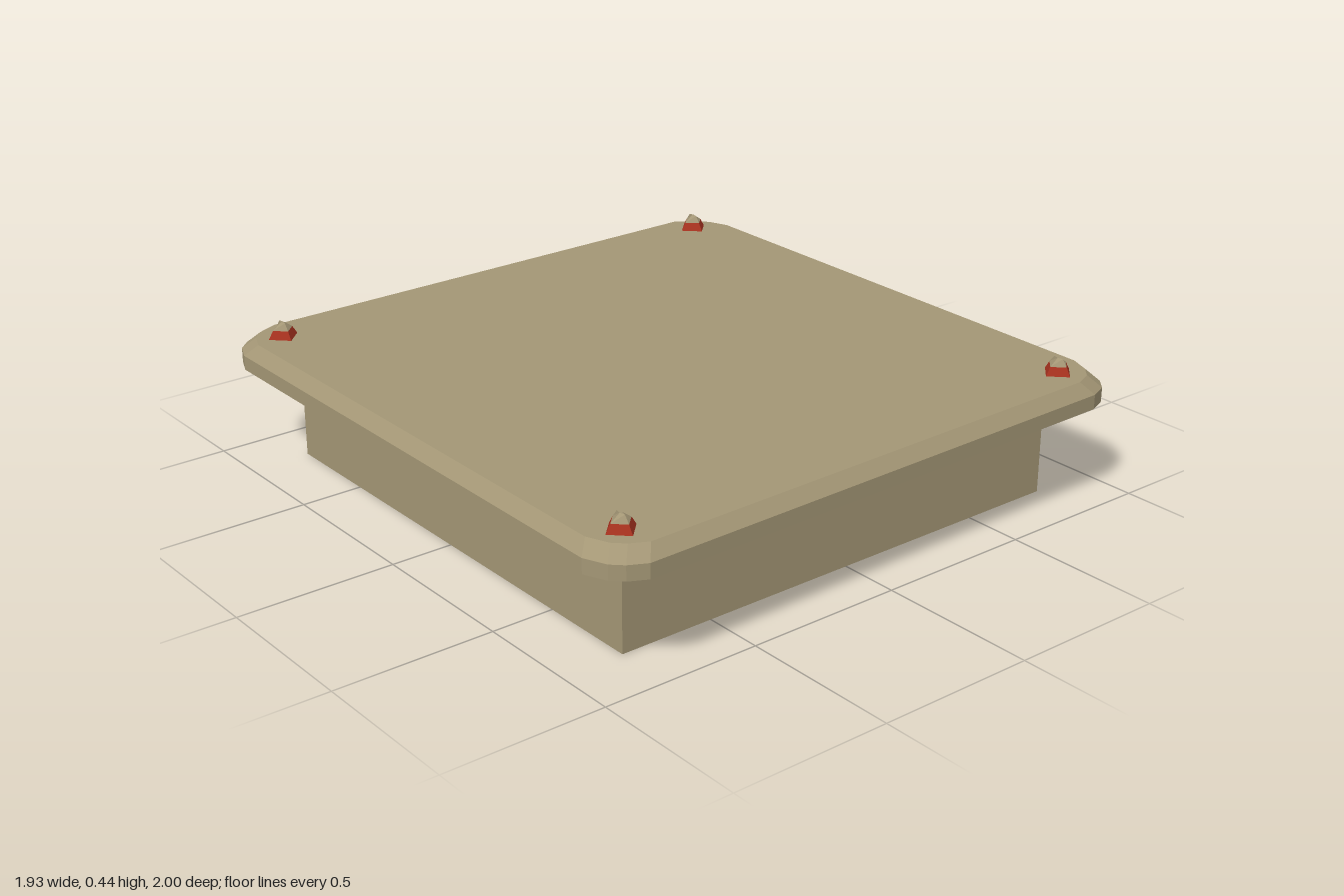
import * as THREE from 'three';

const tan = new THREE.MeshStandardMaterial({ color: 0xa39675, side: THREE.DoubleSide });
tan.name = 'tan';
const red = new THREE.MeshStandardMaterial({ color: 0xa8321f, side: THREE.DoubleSide });
red.name = 'red';

// Flat-shaded faces from triangles given as corner triples
function facesGeometry(corners) {
  const g = new THREE.BufferGeometry();
  g.setAttribute('position', new THREE.Float32BufferAttribute(corners.flat(), 3));
  g.computeVertexNormals();
  return g;
}

// Side walls between two rings; pick(i) chooses which sides to build
function wall(lower, upper, pick = () => true) {
  const out = [];
  lower.forEach((a, i) => {
    if (!pick(i)) return;
    const j = (i + 1) % lower.length;
    out.push(a, lower[j], upper[j], a, upper[j], upper[i]);
  });
  return out;
}

// Cap over a convex ring
function cap(ring, facingUp) {
  const out = [];
  for (let i = 1; i < ring.length - 1; i++) {
    out.push(ring[0], ...(facingUp ? [ring[i], ring[i + 1]] : [ring[i + 1], ring[i]]));
  }
  return out;
}

const ringAt = (outline, y, s = 1) => outline.map(([x, z]) => [x * s, y, z * s]);

function addMesh(parent, name, corners, material) {
  const mesh = new THREE.Mesh(facesGeometry(corners), material);
  mesh.name = name;
  parent.add(mesh);
}

export function createModel() {
  const model = new THREE.Group();
  model.name = 'cover';

  // Lid outline, slightly out of square, counterclockwise from above
  const lidOutline = [
    [0.84, 0.97], [0.9, 0.945], [0.935, 0.905], [0.96, 0.84],
    [0.963, -0.85], [0.937, -0.915], [0.907, -0.955], [0.84, -1],
    [-0.84, -0.995], [-0.905, -0.968], [-0.942, -0.932], [-0.968, -0.87],
    [-0.968, 0.865], [-0.938, 0.935], [-0.905, 0.967], [-0.85, 0.995],
  ];
  const rim = ringAt(lidOutline, 0.312);
  const shoulder = ringAt(lidOutline, 0.358);
  const top = ringAt(lidOutline, 0.395, 0.964);
  const redFacet = 5;

  addMesh(model, 'lid', [
    ...cap(rim, false),
    ...wall(rim, shoulder, (i) => i !== redFacet),
    ...wall(shoulder, top),
    ...cap(top, true),
  ], tan);
  addMesh(model, 'cornerMark', wall(rim, shoulder, (i) => i === redFacet), red);

  // Thin skirt, open at the bottom
  const skirtOutline = [[0.793, 0.815], [0.793, -0.815], [-0.803, -0.815], [-0.803, 0.815]];
  addMesh(model, 'skirt', wall(ringAt(skirtOutline, 0), ringAt(skirtOutline, 0.312)), tan);

  // Corner studs: red diamond base under a small ridged cap
  const diamond = [[0, 0.05], [0.05, 0], [0, -0.05], [-0.05, 0]];
  const base = ringAt(diamond, 0);
  const waist = ringAt(diamond, 0.026, 0.68);
  const ridge = [[0, 0.048, 0.017], [0.004, 0.048, 0], [0, 0.048, -0.017], [-0.004, 0.048, 0]];
  for (const [x, z] of [[-0.837, -0.856], [0.815, -0.87], [-0.837, 0.858], [0.815, 0.842]]) {
    const stud = new THREE.Group();
    stud.name = 'stud';
    stud.position.set(x, 0.395, z);
    addMesh(stud, 'studBase', wall(base, waist), red);
    addMesh(stud, 'studCap', [...wall(waist, ridge), ...cap(ridge, true)], tan);
    model.add(stud);
  }

  return model;
}
